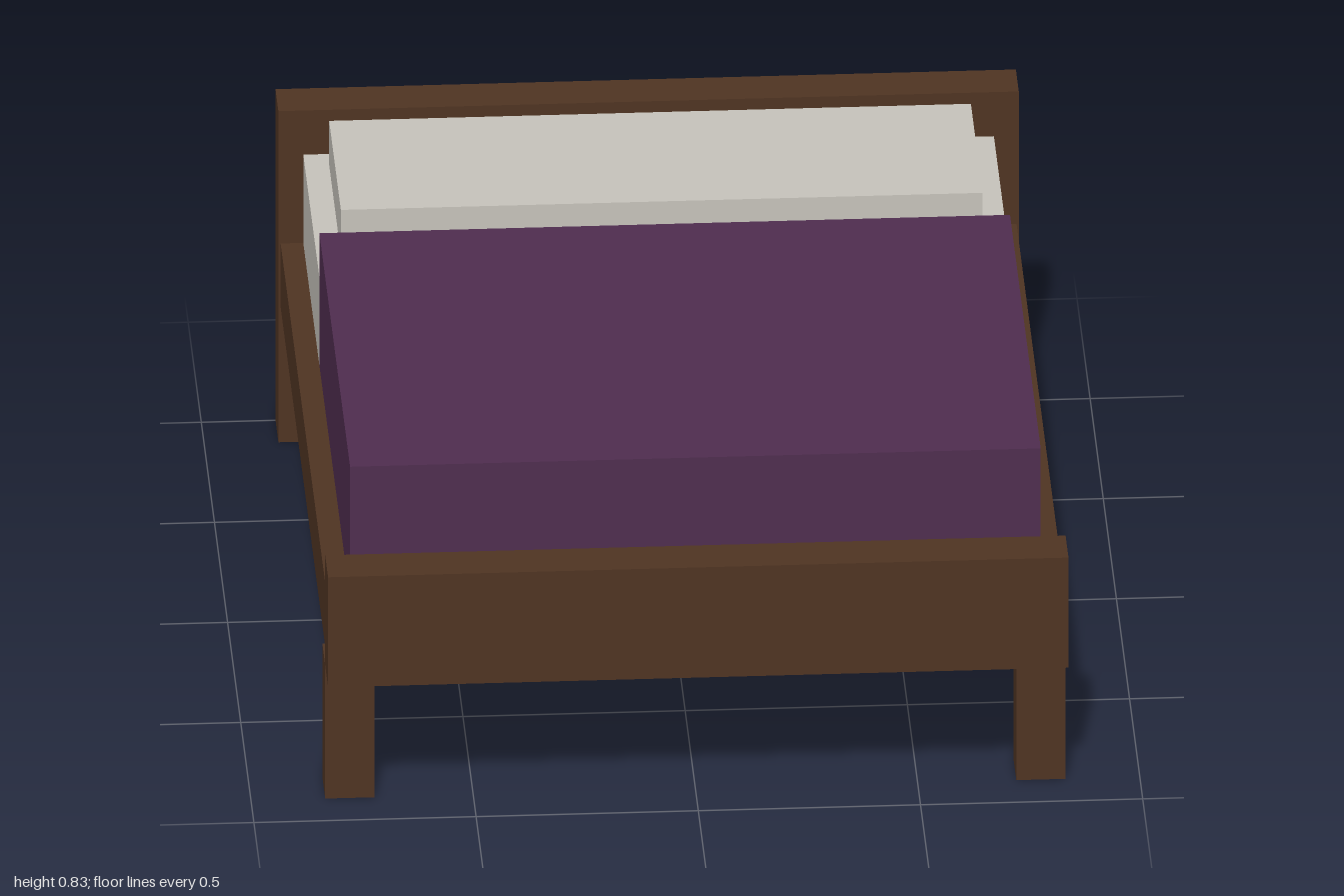
import * as THREE from 'three';

export function createModel() {
  const bed = new THREE.Group();
  bed.name = 'bed';

  const material = (name, color) => {
    const m = new THREE.MeshStandardMaterial({ color });
    m.name = name;
    return m;
  };
  const wood = material('dark wood', 0x4f3422);
  const linen = material('pale linen', 0xc5c2ba);
  const purple = material('purple cloth', 0x4f2d4f);

  // Box given by its extents on each axis
  const box = (name, mat, [x0, x1], [y0, y1], [z0, z1]) => {
    const mesh = new THREE.Mesh(new THREE.BoxGeometry(x1 - x0, y1 - y0, z1 - z0), mat);
    mesh.position.set((x0 + x1) / 2, (y0 + y1) / 2, (z0 + z1) / 2);
    mesh.name = name;
    bed.add(mesh);
  };

  // Wooden frame
  box('headboard', wood, [-0.833, 0.833], [0, 0.833], [-1, -0.89]);
  box('footboard', wood, [-0.833, 0.833], [0.335, 0.612], [0.89, 1]);
  box('bedBase', wood, [-0.828, 0.828], [0.34, 0.5], [-0.89, 0.89]);

  // Front legs, just behind the footboard
  box('leftFrontLeg', wood, [0.722, 0.833], [0, 0.335], [0.78, 0.89]);
  box('rightFrontLeg', wood, [-0.833, -0.722], [0, 0.335], [0.78, 0.89]);

  // Bedding
  box('mattress', linen, [-0.777, 0.777], [0.5, 0.722], [-0.89, -0.277]);
  box('blanket', purple, [-0.777, 0.777], [0.5, 0.833], [-0.277, 0.89]);
  box('pillow', linen, [-0.722, 0.722], [0.722, 0.833], [-0.835, -0.39]);

  return bed;
}
